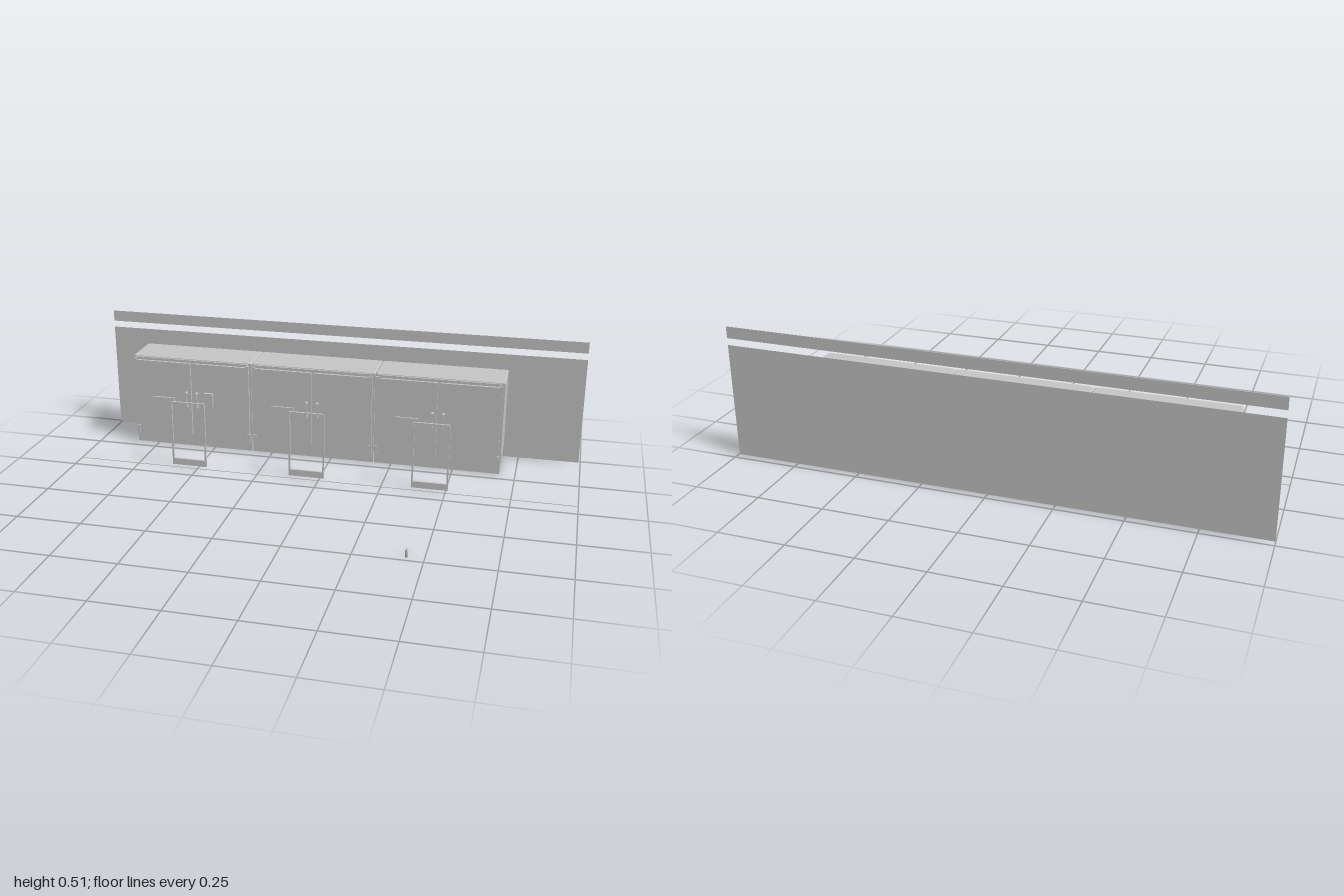
import * as THREE from 'three';

export function createModel() {
  const root = new THREE.Group();
  const grey = new THREE.MeshStandardMaterial({ color: 0xc6c6c6, side: THREE.DoubleSide });
  grey.name = 'plain light grey';

  const add = (parent, name, geometry, x = 0, y = 0, z = 0) => {
    const mesh = new THREE.Mesh(geometry, grey);
    mesh.name = name;
    mesh.position.set(x, y, z);
    parent.add(mesh);
    return mesh;
  };
  // Box given by its lower and upper limits
  const box = (parent, name, [x0, x1], [y0, y1], [z0, z1]) =>
    add(parent, name, new THREE.BoxGeometry(x1 - x0, y1 - y0, z1 - z0),
      (x0 + x1) / 2, (y0 + y1) / 2, (z0 + z1) / 2);
  // Rounded outline seen from the front, extruded along z
  const rounded = (parent, name, [x0, x1], [y0, y1], [z0, z1], r) => {
    const s = new THREE.Shape();
    s.moveTo(x0 + r, y0);
    s.lineTo(x1 - r, y0);
    s.absarc(x1 - r, y0 + r, r, -Math.PI / 2, 0);
    s.absarc(x1 - r, y1 - r, r, 0, Math.PI / 2);
    s.absarc(x0 + r, y1 - r, r, Math.PI / 2, Math.PI);
    s.absarc(x0 + r, y0 + r, r, Math.PI, Math.PI * 1.5);
    const g = new THREE.ExtrudeGeometry(s, { depth: z1 - z0, bevelEnabled: false, curveSegments: 4 });
    return add(parent, name, g, 0, 0, z0);
  };

  // Back wall, the strip above it and the floor line
  add(root, 'wall', new THREE.PlaneGeometry(1.993, 0.439), -0.0035, 0.2235, -0.479);
  add(root, 'wallStrip', new THREE.PlaneGeometry(1.993, 0.045), -0.0035, 0.492, -0.479);
  box(root, 'floorLine', [-1, 1], [0, 0.002], [-0.066, -0.064]);

  // Three double-door cabinets in a row
  [-0.59, -0.078, 0.434].forEach((cx, i) => {
    const cabinet = new THREE.Group();
    cabinet.name = 'cabinet' + (i + 1);
    cabinet.position.x = cx;
    root.add(cabinet);
    box(cabinet, 'plinth', [-0.2535, 0.2535], [0, 0.05], [-0.459, -0.298]);
    rounded(cabinet, 'body', [-0.2555, 0.2555], [0.046, 0.383], [-0.464, -0.296], 0.006);
    box(cabinet, 'topLip', [-0.242, 0.242], [0.37, 0.381], [-0.297, -0.288]);

    for (const side of [-1, 1]) {
      const span = (a, b) => (side < 0 ? [-b, -a] : [a, b]);
      rounded(cabinet, 'door', span(0.004, 0.246), [0.05, 0.367], [-0.296, -0.286], 0.005);
      // Hinges at the outer corners
      for (const y of [[0.043, 0.079], [0.36, 0.375]])
        box(cabinet, 'hinge', span(0.236, 0.249), y, [-0.29, -0.281]);
      // Bar handle on two standoffs
      const hx = 0.002 + side * 0.022;
      box(cabinet, 'handleBar', [hx - 0.004, hx + 0.004], [0.18, 0.245], [-0.27, -0.264]);
      for (const y of [0.184, 0.241])
        box(cabinet, 'handleStandoff', [hx - 0.004, hx + 0.004], [y - 0.004, y + 0.004], [-0.287, -0.268]);
    }
    box(cabinet, 'labelHolder', [-0.171, -0.075], [0.199, 0.213], [-0.287, -0.279]);
  });

  // Small notice box on the first cabinet
  rounded(root, 'noticeBox', [-0.539, -0.497], [0.186, 0.246], [-0.287, -0.274], 0.004);

  // Upright open frames before the cabinets
  for (const cx of [-0.532, -0.048, 0.439]) {
    const frame = new THREE.Group();
    frame.name = 'standingFrame';
    frame.position.x = cx;
    root.add(frame);
    const depth = [-0.075, -0.067];
    for (const s of [-1, 1])
      box(frame, 'framePost', [s * 0.068 - 0.003, s * 0.068 + 0.003], [0.011, 0.28], depth);
    box(frame, 'frameTop', [-0.065, 0.065], [0.274, 0.28], depth);
    box(frame, 'frameFoot', [-0.065, 0.065], [0.011, 0.037], depth);
  }

  // Little bottle standing apart
  const profile = [[0, 0], [0.0055, 0], [0.0055, 0.022], [0.003, 0.027], [0.003, 0.033], [0, 0.033]];
  add(root, 'bottle', new THREE.LatheGeometry(profile.map(p => new THREE.Vector2(...p)), 16), 0.438, 0, 0.4735);

  return root;
}
